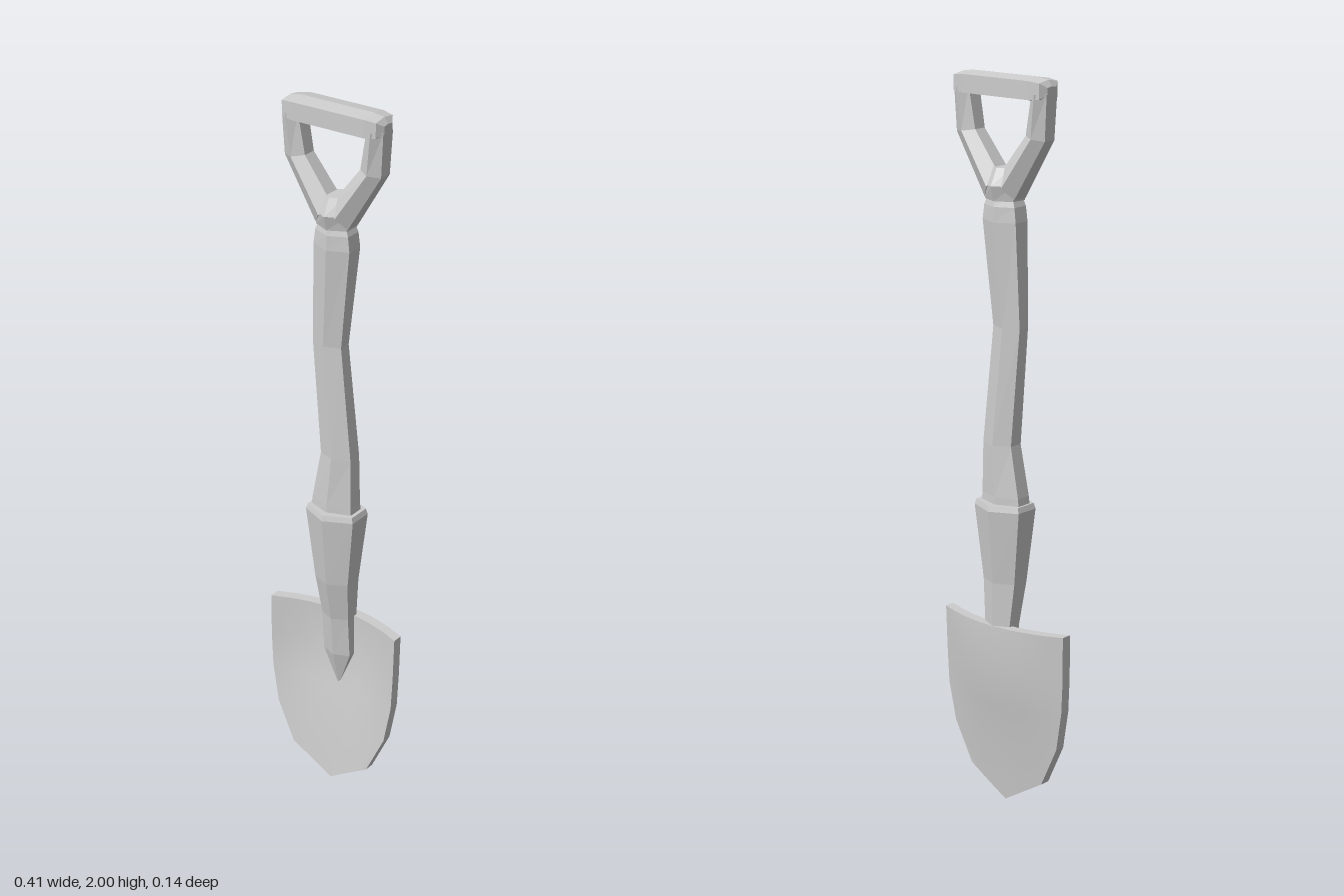
import * as THREE from 'three';

// Faceted solid through a list of equal-length rings of [x, y, z] points, capped at both ends
function loft(rings) {
  const n = rings[0].length, pos = [];
  const tri = (a, b, c) => pos.push(...a, ...b, ...c);
  for (let i = 0; i < rings.length - 1; i++) {
    for (let j = 0; j < n; j++) {
      const k = (j + 1) % n;
      const a = rings[i][j], b = rings[i][k], c = rings[i + 1][k], d = rings[i + 1][j];
      tri(a, b, c);
      tri(a, c, d);
    }
  }
  const first = rings[0], last = rings[rings.length - 1];
  for (let j = 1; j < n - 1; j++) {
    tri(first[0], first[j + 1], first[j]);
    tri(last[0], last[j], last[j + 1]);
  }
  const geo = new THREE.BufferGeometry();
  geo.setAttribute('position', new THREE.Float32BufferAttribute(pos, 3));
  geo.computeVertexNormals();
  return geo;
}

// Horizontal hexagon with a corner facing front
function hexRing([y, cx, cz, rx, rz]) {
  return Array.from({ length: 6 }, (_, j) => {
    const a = (j * Math.PI) / 3;
    return [cx + (Math.sin(a) * rx) / Math.sin(Math.PI / 3), y, cz + Math.cos(a) * rz];
  });
}

// Blade rows: half width, edge y, centre y, edge z, centre z (front surface)
const bladeRows = [
  [0.125, 0.075, 0.0, 0.035, 0.032],
  [0.18, 0.19, 0.15, 0.031, 0.016],
  [0.2, 0.3, 0.28, 0.027, -0.004],
  [0.205, 0.4, 0.4, 0.026, -0.025],
  [0.207, 0.52, 0.52, 0.023, -0.024],
];
const COLS = 8, THICK = 0.03;

function bladePoint(row, col, back) {
  const [w, ye, yc, ze, zc] = bladeRows[row];
  const u = (col / COLS) * 2 - 1, m = Math.abs(u);
  return [u * w, yc + (ye - yc) * m, ze + (zc - ze) * (1 - u * u) - (back ? THICK : 0)];
}

// Smooth dished face, front or back
function bladeFace(back) {
  const pos = [], index = [];
  for (let r = 0; r < bladeRows.length; r++)
    for (let c = 0; c <= COLS; c++) pos.push(...bladePoint(r, c, back));
  for (let r = 0; r < bladeRows.length - 1; r++) {
    for (let c = 0; c < COLS; c++) {
      const a = r * (COLS + 1) + c, b = a + 1, d = a + COLS + 1, e = d + 1;
      index.push(...(back ? [a, e, b, a, d, e] : [a, b, e, a, e, d]));
    }
  }
  const geo = new THREE.BufferGeometry();
  geo.setAttribute('position', new THREE.Float32BufferAttribute(pos, 3));
  geo.setIndex(index);
  geo.computeVertexNormals();
  return geo;
}

// Flat rim joining the two blade faces, walked counter-clockwise
function bladeRim() {
  const last = bladeRows.length - 1, loop = [], pos = [];
  for (let c = 0; c < COLS; c++) loop.push([0, c]);
  for (let r = 0; r < last; r++) loop.push([r, COLS]);
  for (let c = COLS; c > 0; c--) loop.push([last, c]);
  for (let r = last; r > 0; r--) loop.push([r, 0]);
  loop.forEach(([r, c], i) => {
    const [r2, c2] = loop[(i + 1) % loop.length];
    const a = bladePoint(r, c, false), b = bladePoint(r2, c2, false);
    const d = bladePoint(r, c, true), e = bladePoint(r2, c2, true);
    pos.push(...a, ...d, ...e, ...a, ...e, ...b);
  });
  const geo = new THREE.BufferGeometry();
  geo.setAttribute('position', new THREE.Float32BufferAttribute(pos, 3));
  geo.computeVertexNormals();
  return geo;
}

// Handle arm: ridged front and back; each section is outer x, outer y, inner x, inner y, ridge z
function armGeometry(side) {
  const sections = [
    [0.05, 1.68, 0.0, 1.74, 0.046],
    [0.148, 1.84, 0.085, 1.85, 0.038],
    [0.155, 1.96, 0.105, 1.96, 0.042],
  ];
  return loft(sections.map(([xo, yo, xi, yi, z]) => {
    const xm = (xo + xi) / 2, ym = (yo + yi) / 2, z2 = z * 0.5;
    const ring = [
      [xm, ym, z], [xo, yo, z2], [xo, yo, -z2],
      [xm, ym, -z], [xi, yi, -z2], [xi, yi, z2],
    ].map(([x, y, zz]) => [x * side, y, zz]);
    return side < 0 ? ring.reverse() : ring;
  }));
}

// Grip bar with chamfered ends; stations are x and profile scale
function gripGeometry() {
  const profile = [[0.034, 0], [0.027, 0.043], [-0.021, 0.043], [-0.028, 0], [-0.021, -0.043], [0.027, -0.043]];
  const stations = [[-0.155, 0.4], [-0.143, 0.85], [-0.11, 1], [0.11, 1], [0.143, 0.85], [0.155, 0.4]];
  return loft(stations.map(([x, s]) => profile.map(([y, z]) => [x, 1.966 + y * s, z * s])));
}

export function createModel() {
  const group = new THREE.Group();
  group.name = 'shovel';
  const metal = new THREE.MeshStandardMaterial({ color: 0xcccccc });
  metal.name = 'light grey';
  const add = (name, geo, parent = group) => {
    const mesh = new THREE.Mesh(geo, metal);
    mesh.name = name;
    parent.add(mesh);
  };

  // Blade
  const blade = new THREE.Group();
  blade.name = 'blade';
  group.add(blade);
  add('bladeFront', bladeFace(false), blade);
  add('bladeBack', bladeFace(true), blade);
  add('bladeRim', bladeRim(), blade);

  // Socket running down to a point on the blade: y, centre x, centre z, half width, half depth
  add('socket', loft([
    [0.29, 0, -0.01, 0.001, 0.001],
    [0.4, 0, -0.018, 0.043, 0.036],
    [0.52, 0, -0.012, 0.043, 0.04],
    [0.64, 0, 0, 0.054, 0.051],
    [0.845, 0, 0, 0.077, 0.07],
    [0.86, 0, 0, 0.072, 0.066],
  ].map(hexRing)));

  // Crooked shaft
  add('shaft', loft([
    [0.84, -0.002, 0, 0.066, 0.046],
    [0.88, -0.002, 0, 0.062, 0.045],
    [1.02, 0.009, -0.002, 0.048, 0.04],
    [1.34, -0.02, -0.001, 0.045, 0.034],
    [1.62, 0, 0, 0.056, 0.048],
    [1.66, 0, 0, 0.051, 0.046],
    [1.69, 0, 0, 0.04, 0.038],
  ].map(hexRing)));

  // Handle
  const handle = new THREE.Group();
  handle.name = 'handle';
  group.add(handle);
  add('handleCollar', loft([
    [1.675, 0, 0, 0.048, 0.046],
    [1.715, 0, 0, 0.05, 0.057],
    [1.76, 0, 0, 0.034, 0.034],
  ].map(hexRing)), handle);
  add('leftArm', armGeometry(1), handle);
  add('rightArm', armGeometry(-1), handle);
  add('gripBar', gripGeometry(), handle);

  return group;
}
